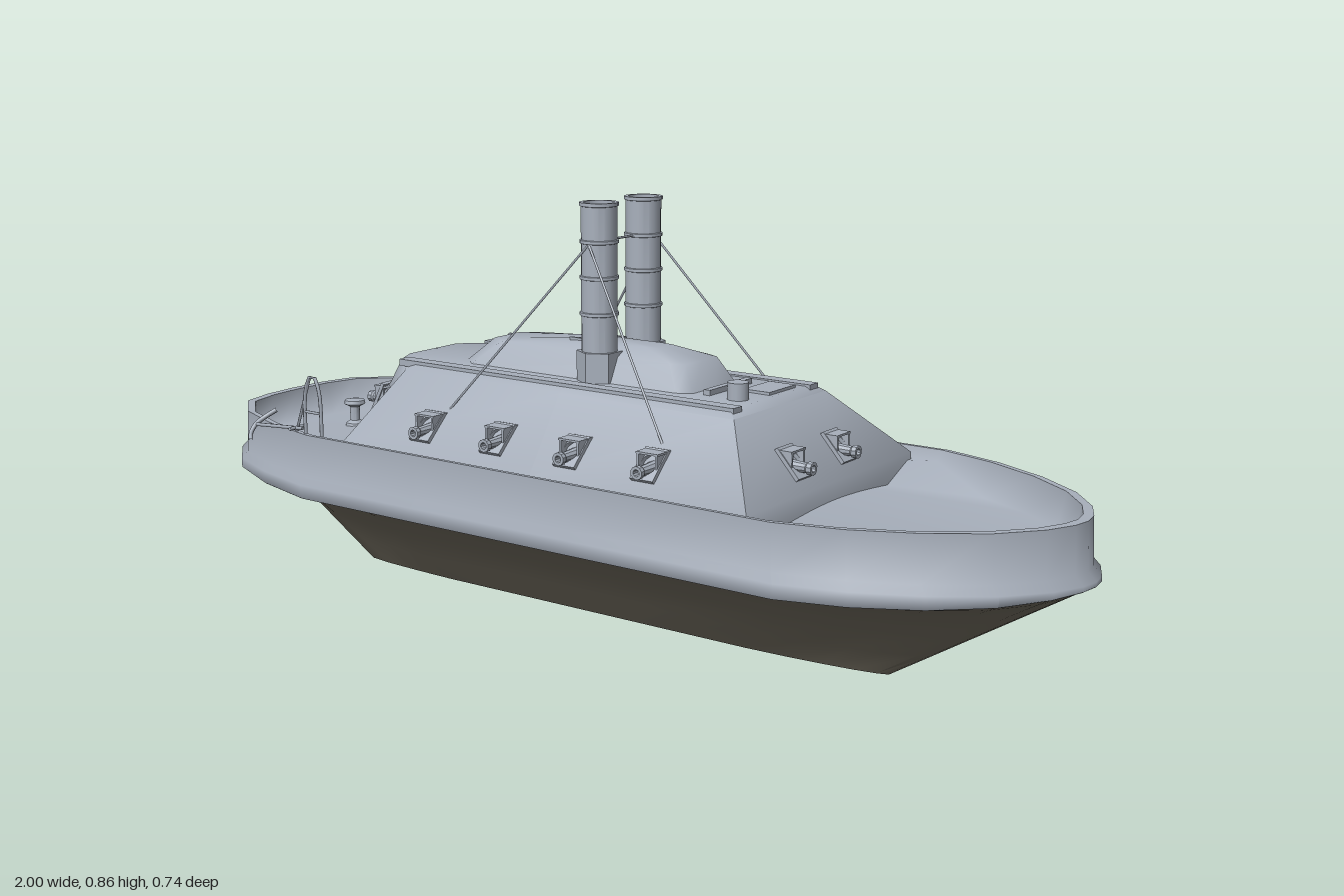
import * as THREE from 'three';
import { toCreasedNormals } from 'three/addons/utils/BufferGeometryUtils.js';

const material = (name, color) => Object.assign(new THREE.MeshStandardMaterial({ color }), { name });
const grey = material('ironGrey', 0xa8b0bc);
const brown = material('hullBrown', 0x7a7466);
const V = (x, y, z) => new THREE.Vector3(x, y, z);

function add(parent, name, geo, x = 0, y = 0, z = 0, mat = grey) {
  const m = new THREE.Mesh(geo, mat);
  m.name = name;
  m.position.set(x, y, z);
  parent.add(m);
  return m;
}

// Half outline (z >= 0, from -x to +x) mirrored into a closed ring
function mirrorRing(half) {
  const back = half.filter(p => p[1] > 0).reverse().map(p => [p[0], -p[1]]);
  return [...half, ...back];
}

// Skin between stacked rings of [x, y, z], lowest first; caps are optional centre points
function loft(rings, crease, bottom, top) {
  const n = rings[0].length, pos = rings.flat(2), idx = [];
  for (let i = 0; i < rings.length - 1; i++) {
    for (let j = 0; j < n; j++) {
      const k = (j + 1) % n, a = i * n + j, b = i * n + k;
      idx.push(a, b, b + n, a, b + n, a + n);
    }
  }
  const cap = (centre, start, up) => {
    const c = pos.length / 3;
    pos.push(...centre);
    for (let j = 0; j < n; j++) {
      const a = start + j, b = start + (j + 1) % n;
      idx.push(c, up ? a : b, up ? b : a);
    }
  };
  if (bottom) cap(bottom, 0, false);
  if (top) cap(top, (rings.length - 1) * n, true);
  const g = new THREE.BufferGeometry();
  g.setAttribute('position', new THREE.Float32BufferAttribute(pos, 3));
  g.setIndex(idx);
  g.computeVertexNormals();
  return crease ? toCreasedNormals(g, crease) : g;
}

// Round bar between two points
function rod(parent, name, a, b, r, sides = 6) {
  const d = b.clone().sub(a);
  const m = add(parent, name, new THREE.CylinderGeometry(r, r, d.length(), sides));
  m.position.copy(a).add(b).multiplyScalar(0.5);
  m.quaternion.setFromUnitVectors(V(0, 1, 0), d.normalize());
  return m;
}

const lathe = (pts, sides = 16) => toCreasedNormals(
  new THREE.LatheGeometry(pts.map(p => new THREE.Vector2(p[0], p[1])), sides), 0.6);

const outline = mirrorRing([
  [-1, 0], [-0.995, 0.09], [-0.975, 0.17], [-0.89, 0.25], [-0.76, 0.305], [-0.61, 0.345],
  [-0.3, 0.345], [0.1, 0.345], [0.55, 0.345], [0.68, 0.308], [0.8, 0.25], [0.9, 0.178],
  [0.965, 0.1], [0.993, 0.04], [1, 0]]);
const ringAt = (sx, sz, y) => outline.map(([x, z]) => [x * sx, typeof y === 'function' ? y(x) : y, z * sz]);

function buildHull(g) {
  // Underwater body: keel flat widening into the overhang, rising slightly at the ends
  const sections = [[0, 0.035], [0.055, 0.078], [0.11, 0.12], [0.155, 0.165], [0.19, 0.225], [0.21, 0.285], [0.228, 0.342]];
  const rise = x => 0.018 * x ** 8;
  const rings = sections.map(([y, w]) => {
    const t = y / 0.228, x0 = -0.74 - 0.255 * t, x1 = 0.6 + 0.395 * t;
    return outline.map(([x, z]) => [x0 + (x + 1) / 2 * (x1 - x0), y + t * rise(x), z / 0.345 * w]);
  });
  add(g, 'lowerHull', loft(rings, 0.8, [-0.07, 0, 0]), 0, 0, 0, brown);

  // Side armour, slightly fuller at its lower edge, with a thin rail on top
  add(g, 'hullSide', loft([
    ringAt(0.997, 0.994, x => 0.227 + rise(x)), ringAt(1, 1, x => 0.229 + rise(x)), ringAt(1, 1, 0.256),
    ringAt(0.984, 0.974, 0.272), ringAt(0.98, 0.97, 0.363), ringAt(0.96, 0.945, 0.363)], 0.95));

  // Dished deck inside the bulwark
  const deckY = x => (Math.abs(x) > 0.62 ? 0.29 : 0.34);
  add(g, 'deck', loft([ringAt(0.96, 0.945, 0.363), ringAt(0.945, 0.93, deckY)], 0, null, [0, 0.35, 0]));
}

function buildCasemate(g) {
  // Sloped armoured house with an angled stern
  const plan = (a, b, c, w, v, y) =>
    mirrorRing([[a, 0], [a, v], [b, w], [(b + c) / 2, w], [c, w], [c, 0]]).map(([x, z]) => [x, y, z]);
  add(g, 'casemate', loft([
    plan(-0.63, -0.52, 0.47, 0.305, 0.1, 0.28), plan(-0.63, -0.52, 0.47, 0.305, 0.1, 0.355),
    plan(-0.56, -0.47, 0.35, 0.165, 0.08, 0.49), plan(-0.54, -0.45, 0.33, 0.148, 0.075, 0.503)],
    0.9, null, [-0.08, 0.508, 0]));

  // Raised roof house
  const house = (a, b, w, y) =>
    mirrorRing([[a, 0], [a, w * 0.6], [a + 0.04, w], [b - 0.03, w], [b, w * 0.8], [b, 0]]).map(([x, z]) => [x, y, z]);
  add(g, 'roofHouse', loft([
    house(-0.4, 0.2, 0.095, 0.498), house(-0.33, 0.165, 0.067, 0.555),
    house(-0.12, 0.08, 0.03, 0.574)], 0, null, [-0.02, 0.576, 0]));

  // Roof fittings
  for (const s of [-1, 1]) {
    add(g, 'roofBeam', new THREE.BoxGeometry(0.84, 0.014, 0.03), -0.08, 0.5, s * 0.137);
    add(g, 'roofRod', new THREE.BoxGeometry(0.09, 0.008, 0.006), -0.09, 0.572, s * 0.033);
  }
  add(g, 'roofBar', new THREE.BoxGeometry(0.014, 0.02, 0.15), 0.225, 0.505, -0.005);
  add(g, 'hatch', new THREE.BoxGeometry(0.06, 0.014, 0.095), 0.29, 0.502, -0.052);
  add(g, 'ventilator', new THREE.CylinderGeometry(0.021, 0.021, 0.04, 16), 0.29, 0.517, 0.06);
}

// Gun facing +z, with its origin on the sloped armour
function buildGun(tilt) {
  const gun = new THREE.Group();
  gun.name = 'gun';
  const s = new THREE.Shape([[-1, -1], [1, -1], [1, 1], [-1, 1]].map(([x, y]) => new THREE.Vector2(x * 0.026, y * 0.036)));
  const hole = new THREE.Path();
  hole.absellipse(0, 0, 0.019, 0.026, 0, Math.PI * 2, true);
  s.holes.push(hole);
  const frame = add(gun, 'portFrame', new THREE.ExtrudeGeometry(s, { depth: 0.008, bevelEnabled: false, curveSegments: 6 }));
  frame.rotation.x = -tilt;
  add(gun, 'portHood', new THREE.BoxGeometry(0.05, 0.004, 0.05), 0, 0.026, -0.012);
  for (const x of [-1, 1]) add(gun, 'portCheek', new THREE.BoxGeometry(0.005, 0.03, 0.025), x * 0.021, 0.011, 0);
  const barrel = add(gun, 'barrel', lathe([
    [0, -0.04], [0.015, -0.04], [0.01, 0.032], [0.013, 0.036], [0.013, 0.046], [0.007, 0.046], [0.007, 0.032], [0, 0.032]], 10));
  barrel.rotation.x = Math.PI / 2;
  barrel.position.y = -0.004;
  return gun;
}

function buildGuns(g) {
  const place = (x, z, turn, tilt) => {
    const gun = buildGun(tilt);
    gun.position.set(x, 0.402, z);
    gun.rotation.y = turn;
    g.add(gun);
  };
  for (const s of [-1, 1]) {
    for (const x of [-0.325, -0.14, 0.045, 0.228]) place(x, s * 0.258, s > 0 ? 0 : Math.PI, 0.8);
    place(0.428, s * 0.083, Math.PI / 2, 0.73);
    place(-0.605, s * 0.083, -Math.PI / 2, 0.48);
  }
}

function buildFunnels(g) {
  // Stacked pipe sections with rings and an open top
  const profile = [[0.036, 0.5]];
  for (const y of [0.64, 0.712, 0.783]) {
    profile.push([0.036, y - 0.004], [0.039, y - 0.003], [0.039, y + 0.003], [0.036, y + 0.004]);
  }
  profile.push([0.036, 0.852], [0.039, 0.853], [0.039, 0.86], [0.031, 0.86], [0.031, 0.78], [0, 0.78]);
  for (const s of [-1, 1]) {
    add(g, 'funnel', lathe(profile, 20), -0.03, 0, s * 0.074);
    add(g, 'funnelCollar', new THREE.CylinderGeometry(0.046, 0.046, 0.07, 6).toNonIndexed(), -0.03, 0.53, s * 0.074)
      .geometry.computeVertexNormals();
    for (const x of [-0.31, 0.235]) {
      rod(g, 'funnelStay', V(-0.03, 0.78, s * 0.108), V(x, 0.425, s * 0.222), 0.0025, 5);
    }
  }
  rod(g, 'funnelBrace', V(-0.03, 0.783, -0.04), V(-0.03, 0.783, 0.04), 0.0025, 5);
}

function buildDeckGear(g) {
  for (const s of [-1, 1]) {
    // Davit: bent hoop with a raking strut
    const hoop = new THREE.CatmullRomCurve3([
      V(-0.61, 0.32, 0), V(-0.605, 0.46, 0), V(-0.585, 0.49, 0), V(-0.568, 0.46, 0), V(-0.563, 0.34, 0)]);
    add(g, 'davitHoop', new THREE.TubeGeometry(hoop, 16, 0.004, 6), 0, 0, s * 0.323);
    rod(g, 'davitStrut', V(-0.648, 0.345, s * 0.318), V(-0.592, 0.486, s * 0.323), 0.003);
    rod(g, 'davitBar', V(-0.61, 0.41, s * 0.323), V(-0.565, 0.41, s * 0.323), 0.003);

    // Anchor lashed to the rail
    rod(g, 'anchorShank', V(-0.75, 0.366, s * 0.332), V(-0.62, 0.372, s * 0.322), 0.004);
    rod(g, 'anchorStock', V(-0.64, 0.371, s * 0.3), V(-0.64, 0.371, s * 0.34), 0.004);
    const arms = new THREE.CatmullRomCurve3([
      V(-0.725, 0.394, s * 0.295), V(-0.745, 0.378, s * 0.312), V(-0.75, 0.366, s * 0.332),
      V(-0.747, 0.35, s * 0.35), V(-0.73, 0.339, s * 0.366)]);
    add(g, 'anchorArms', new THREE.TubeGeometry(arms, 12, 0.005, 6));
  }
  // Mooring posts on the stern deck
  const post = lathe([[0.022, 0], [0.02, 0.008], [0.011, 0.014], [0.011, 0.045], [0.024, 0.052], [0.022, 0.06], [0, 0.064]], 14);
  for (const x of [-0.785, -0.693]) add(g, 'bollard', post, x, 0.298, 0);
}

export function createModel() {
  const model = new THREE.Group();
  model.name = 'ironcladShip';
  for (const [name, build] of [['hull', buildHull], ['armouredHouse', buildCasemate], ['guns', buildGuns],
    ['funnels', buildFunnels], ['deckGear', buildDeckGear]]) {
    const part = new THREE.Group();
    part.name = name;
    build(part);
    model.add(part);
  }
  return model;
}
